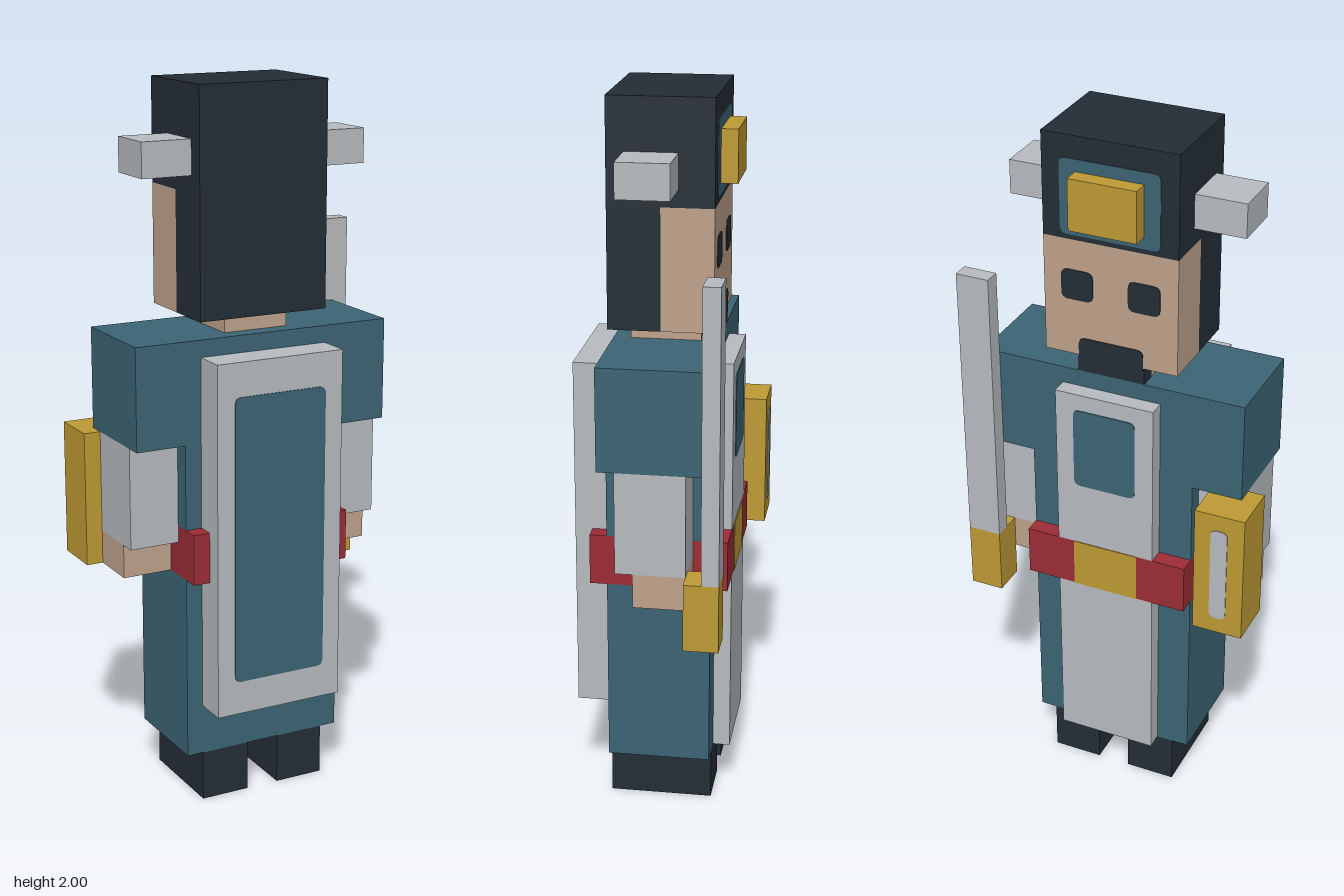
import * as THREE from 'three';

const U = 2 / 42; // one block of the grid the figure is built on

export function createModel() {
  const root = new THREE.Group();
  root.name = 'blockFigure';

  const material = (name, color) => {
    const m = new THREE.MeshStandardMaterial({ color });
    m.name = name;
    return m;
  };
  const dark = material('darkNavy', 0x232d36);
  const teal = material('teal', 0x3c6474);
  const grey = material('lightGrey', 0xb7bbbf);
  const skin = material('skin', 0xbfa28b);
  const red = material('red', 0x9c2c36);
  const gold = material('gold', 0xbe9a34);

  // Box given by its limits in blocks
  function box(name, mat, [x0, x1], [y0, y1], [z0, z1]) {
    const geo = new THREE.BoxGeometry((x1 - x0) * U, (y1 - y0) * U, (z1 - z0) * U);
    const mesh = new THREE.Mesh(geo, mat);
    mesh.name = name;
    mesh.position.set((x0 + x1) / 2 * U, (y0 + y1) / 2 * U, (z0 + z1) / 2 * U);
    root.add(mesh);
  }

  // Thin painted plate with rounded corners, centred on the plane z
  function plate(name, mat, [x0, x1], [y0, y1], z, r = 0.4) {
    const s = new THREE.Shape();
    s.moveTo(x0 + r, y0);
    s.lineTo(x1 - r, y0);
    s.quadraticCurveTo(x1, y0, x1, y0 + r);
    s.lineTo(x1, y1 - r);
    s.quadraticCurveTo(x1, y1, x1 - r, y1);
    s.lineTo(x0 + r, y1);
    s.quadraticCurveTo(x0, y1, x0, y1 - r);
    s.lineTo(x0, y0 + r);
    s.quadraticCurveTo(x0, y0, x0 + r, y0);
    const geo = new THREE.ExtrudeGeometry(s, { depth: 0.1, bevelEnabled: false, curveSegments: 4 });
    geo.translate(0, 0, z - 0.05).scale(U, U, U);
    const mesh = new THREE.Mesh(geo, mat);
    mesh.name = name;
    root.add(mesh);
  }

  // Robe, shoulders and belt
  box('robeSkirt', teal, [-5, 5], [3, 14], [-3, 3]);
  box('robeChest', teal, [-5, 5], [17, 22], [-3, 3]);
  box('robeShoulders', teal, [-8, 8], [22, 28], [-3, 3]);
  box('belt', red, [-5, 5], [14, 17], [-4, 4]);
  plate('beltBuckle', gold, [-2, 2], [14, 17], -4, 0.01);

  // Tabard on the face side, above and below the belt
  box('tabardLower', grey, [-3, 3], [3, 14], [-4, -3]);
  box('tabardUpper', grey, [-3, 3], [17, 27], [-4, -3]);
  plate('tabardEmblem', teal, [-1.9, 1.9], [21, 26], -4);

  // Panel carried on the other side
  box('backPanel', grey, [-4, 4], [6, 27], [3, 5]);
  plate('backPanelInset', teal, [-2.9, 2.9], [8, 25], 5);

  // Paired feet, sleeves, hands, headpiece sides and eyes
  for (const [side, s] of [['left', 1], ['right', -1]]) {
    const span = (a, b) => (s > 0 ? [a, b] : [-b, -a]);
    box(side + 'Foot', dark, span(1, 4), [0, 3], [-3, 3]);
    box(side + 'Sleeve', grey, span(5, 8), [16, 22], [-2, 2]);
    box(side + 'Hand', skin, span(5, 8), [14, 16], [-2, 1]);
    box(side + 'HeadpieceWing', grey, span(4, 7), [37, 39], [-1, 2]);
    plate(side + 'Eye', dark, span(1.05, 2.95), [32.4, 34.2], -3);
  }

  // Head
  box('neck', skin, [-2, 2], [28, 29], [-2, 2]);
  box('face', skin, [-4, 4], [29, 36], [-3, 0]);
  box('hairBack', dark, [-4, 4], [29, 36], [0, 3]);
  box('hairTop', dark, [-4, 4], [36, 42], [-3, 3]);
  plate('moustache', dark, [-1.95, 1.95], [28.6, 30.1], -3);
  box('beard', dark, [-2, 2], [28, 29], [-3, -2]);
  plate('headpiecePatch', teal, [-2.95, 2.95], [36.3, 40.7], -3);
  box('headpieceOrnament', gold, [-2, 2], [37, 40], [-4, -3]);

  // Sword in one hand, book in the other
  box('swordBlade', grey, [7, 9], [16, 33], [-4, -3]);
  box('swordHilt', gold, [7, 9], [12, 16], [-4, -2]);
  box('book', gold, [-9, -6], [14, 22], [-5, -2]);
  plate('bookStripe', grey, [-8, -7], [15, 21], -5);

  return root;
}
